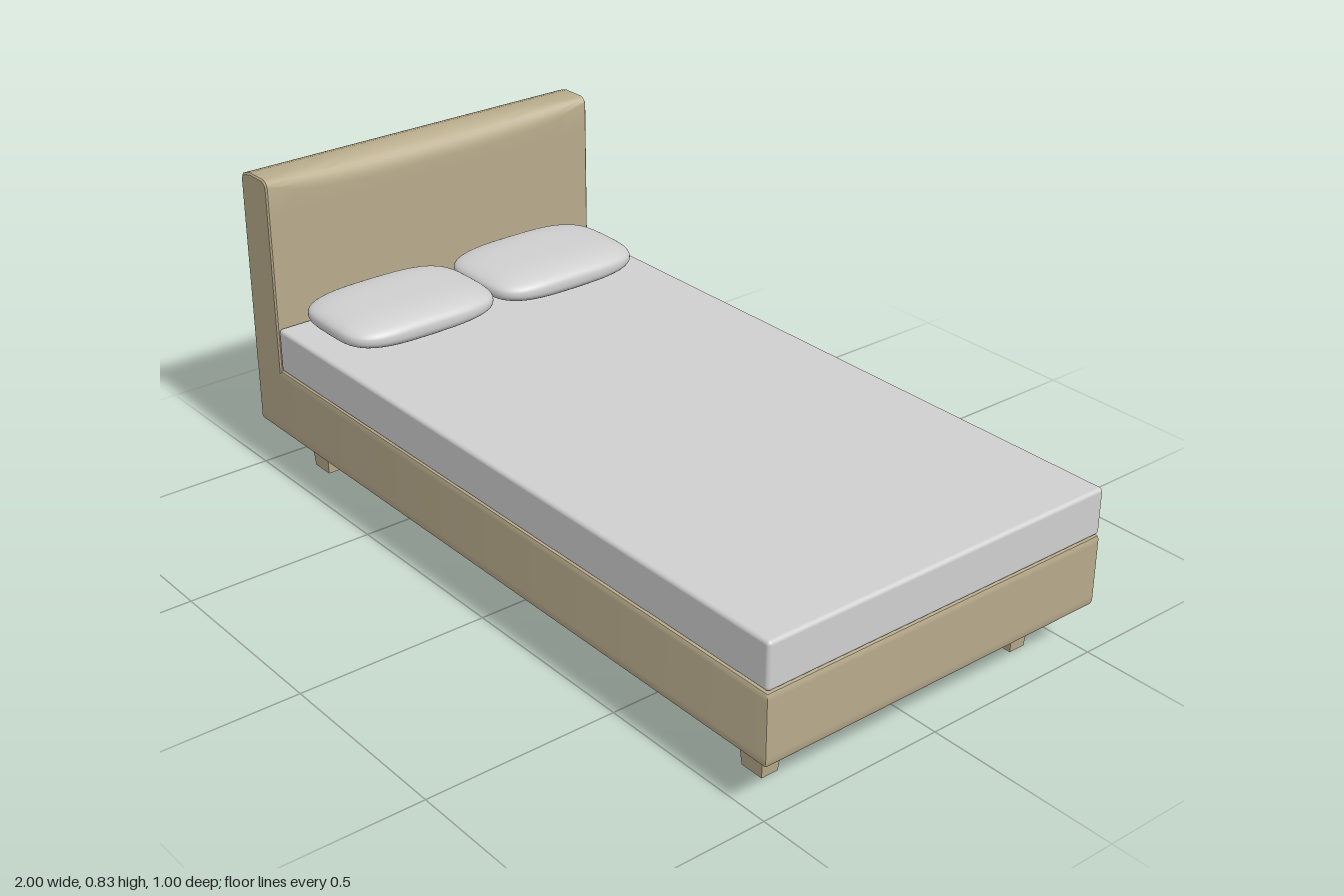
import * as THREE from 'three';
import { toCreasedNormals } from 'three/addons/utils/BufferGeometryUtils.js';
import { RoundedBoxGeometry } from 'three/addons/geometries/RoundedBoxGeometry.js';

// Skin a list of equal-length closed rings of [x, y, z], capping both ends
function loft(rings, crease) {
  const n = rings[0].length, pos = rings.flat(2), index = [];
  rings.slice(1).forEach((_, r) => {
    for (let i = 0; i < n; i++) {
      const a = r * n + i, b = r * n + (i + 1) % n;
      index.push(a, b, a + n, b, b + n, a + n);
    }
  });
  [rings[0], rings[rings.length - 1]].forEach((ring, end) => {
    const base = end ? (rings.length - 1) * n : 0, c = pos.length / 3;
    for (let k = 0; k < 3; k++) pos.push(ring.reduce((s, p) => s + p[k], 0) / n);
    for (let i = 0; i < n; i++) {
      const a = base + i, b = base + (i + 1) % n;
      index.push(...(end ? [a, b, c] : [b, a, c]));
    }
  });
  const g = new THREE.BufferGeometry();
  g.setAttribute('position', new THREE.Float32BufferAttribute(pos, 3));
  g.setIndex(index);
  return toCreasedNormals(g, crease);
}

// Horizontal rounded rectangle, inset from the bed outline
function outline(inset, y) {
  const r = Math.max(0.006 - inset, 0.002), ring = [];
  for (let c = 0; c < 4; c++) {
    const sx = c === 0 || c === 3 ? 1 : -1, sz = c < 2 ? 1 : -1;
    for (let i = 0; i <= 2; i++) {
      const a = (c + i / 2) * Math.PI / 2;
      ring.push([sx * (1 - inset - r) + r * Math.cos(a), y, sz * (0.5 - inset - r) + r * Math.sin(a)]);
    }
  }
  return ring;
}

// Headboard section at z: its front top edge is rounded more towards the middle
function headSection(z, shrink) {
  const t = Math.min(Math.abs(z) / 0.5, 1);
  const rx = 0.02 + 0.045 * (1 - t * t), ry = 0.02 + 0.04 * (1 - t ** 4);
  const x0 = -1 + shrink, x1 = -0.878 - shrink, top = 0.828 - shrink;
  const ring = [[x0, 0.295, z], [x0, top - 0.03, z], [x0, top - 0.015, z], [x0 + 0.005, top - 0.005, z],
    [x0 + 0.018, top, z], [x0 + 0.04, top + 0.006, z]];
  for (let i = 0; i <= 8; i++) {
    const a = (1 - i / 8) * Math.PI / 2;
    ring.push([x1 - rx + rx * Math.cos(a), top + 0.006 - ry + ry * Math.sin(a), z]);
  }
  ring.push([x1, top - 0.085, z], [x1, 0.295, z]);
  return ring;
}

// Soft cushion: a squared-off ellipsoid with thinner corners
function pillowGeometry(a, b, c) {
  const g = new THREE.SphereGeometry(1, 64, 32), p = g.attributes.position;
  const pw = (v, e) => Math.sign(v) * Math.abs(v) ** e;
  for (let i = 0; i < p.count; i++) {
    const x = p.getX(i), y = p.getY(i), z = p.getZ(i), h = Math.hypot(x, z) || 1e-6;
    const s = Math.min(h, 1) ** 0.6, u = s * pw(x / h, 0.5), v = s * pw(z / h, 0.5);
    p.setXYZ(i, a * u, b * pw(y, 0.78) * (1 - 0.3 * u * u * v * v), c * v);
  }
  g.computeVertexNormals();
  return g;
}

export function createModel() {
  const bed = new THREE.Group();
  bed.name = 'bed';
  const fabric = new THREE.MeshStandardMaterial({ color: 0xb8ab8c });
  fabric.name = 'beige upholstery';
  const linen = new THREE.MeshStandardMaterial({ color: 0xcfcfcf });
  linen.name = 'pale grey linen';
  const add = (name, geometry, material, x = 0, y = 0, z = 0) => {
    const m = new THREE.Mesh(geometry, material);
    m.name = name;
    m.position.set(x, y, z);
    bed.add(m);
  };

  // Base frame, from the top edge down and in along the shallow dished underside
  const underside = 0.17;
  const profile = [[0.012, 0.315], [0.003, 0.311], [0, 0.303], [0, 0.295], [0, 0.155], [0, 0.14], [0.003, 0.133],
    [0.01, 0.129], [0.022, 0.129], [0.04, 0.134], [0.12, 0.164], [0.15, underside], [0.18, underside]];
  add('baseFrame', loft(profile.map(([d, y]) => outline(d, y)), 0.75), fabric);

  // Headboard lofted from one side to the other
  const sections = [headSection(0.5, 0.004)];
  for (let i = 0; i <= 24; i++) sections.push(headSection(0.496 - 0.992 * i / 24, 0));
  sections.push(headSection(-0.5, 0.004));
  add('headboard', loft(sections, 0.5), fabric);

  // Tapered legs
  const legGeometry = new THREE.BoxGeometry(1, underside, 1);
  const lp = legGeometry.attributes.position;
  for (let i = 0; i < lp.count; i++) {
    const foot = lp.getY(i) < 0;
    lp.setX(i, lp.getX(i) * (foot ? 0.064 : 0.096));
    lp.setZ(i, lp.getZ(i) * (foot ? 0.046 : 0.07));
  }
  legGeometry.computeVertexNormals();
  for (const x of [-0.865, 0.855]) for (const z of [-0.383, 0.383]) {
    add(`${x > 0 ? 'foot' : 'head'}Leg${z > 0 ? 'Front' : 'Back'}`, legGeometry, fabric, x, underside / 2, z);
  }

  // Mattress and pillows
  add('mattress', new RoundedBoxGeometry(1.874, 0.12, 0.998, 4, 0.01), linen, 0.062, 0.375, 0);
  const pillow = pillowGeometry(0.16, 0.043, 0.224);
  for (const s of [-1, 1]) add(s > 0 ? 'pillowFront' : 'pillowBack', pillow, linen, -0.72, 0.476, s * 0.225);

  return bed;
}
